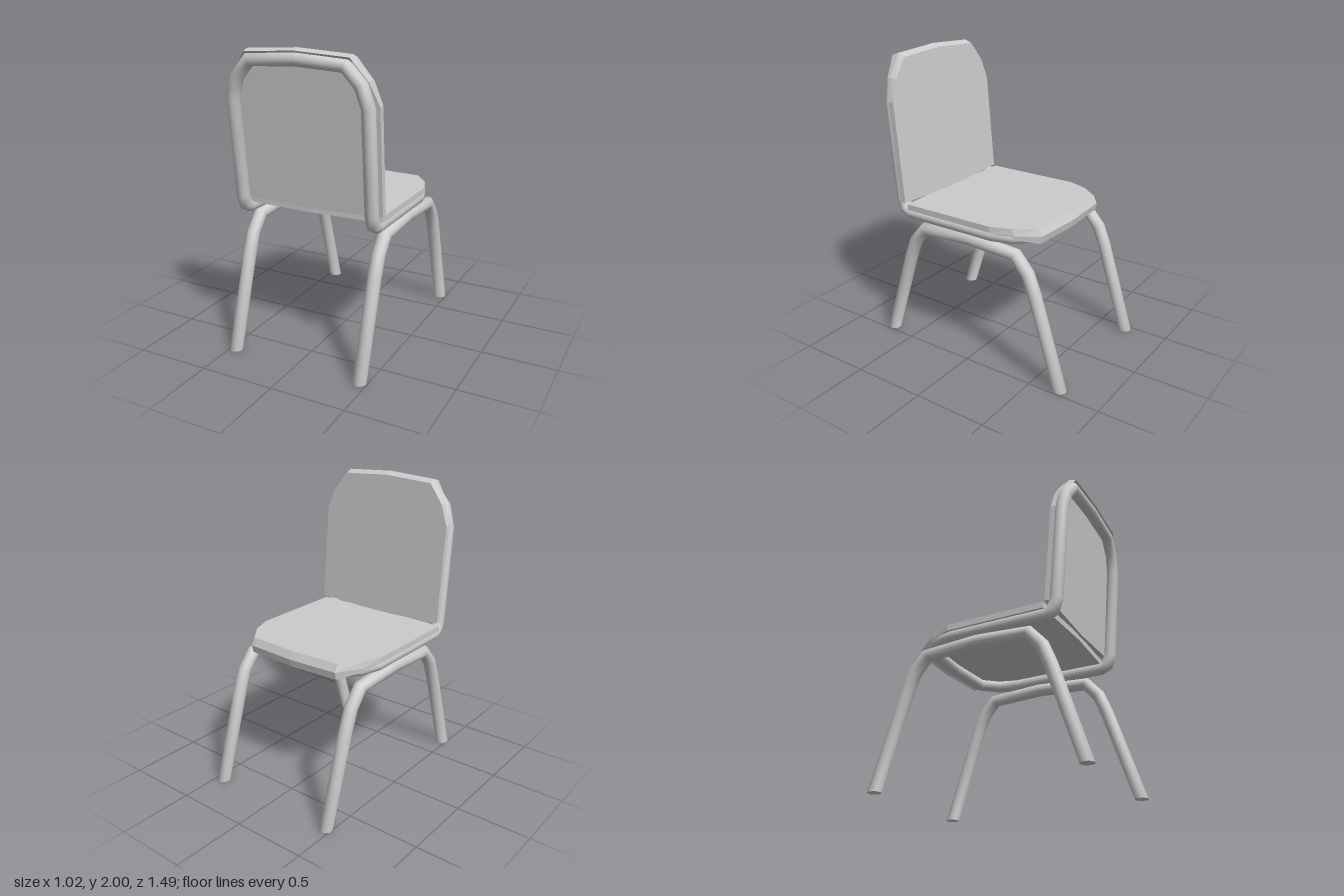
import * as THREE from 'three';

const LEAN = 0.0885; // backrest tilt
const SEAT_Y = 1.01, BACK_Y = 1.025, CREASE_Z = 0.48;
const material = new THREE.MeshStandardMaterial({ color: 0xcccccc });
const flat = new THREE.MeshStandardMaterial({ color: 0xcccccc, flatShading: true });
const mirrored = (half) => [...half, ...half.slice(0, -1).reverse().map(([x, v]) => [-x, v])];

// Polyline whose tube rings sit exactly on the corner points
class BentPath extends THREE.Curve {
  constructor(points, closed, endTangents) {
    super();
    Object.assign(this, { points, closed, endTangents, n: points.length - (closed ? 0 : 1) });
  }
  at(i) {
    const len = this.points.length;
    return this.points[this.closed ? (i + len) % len : THREE.MathUtils.clamp(i, 0, len - 1)];
  }
  getPoint(t, target = new THREE.Vector3()) {
    const i = Math.min(Math.floor(t * this.n + 1e-6), this.n - 1);
    return target.lerpVectors(this.at(i), this.at(i + 1), t * this.n - i);
  }
  getPointAt(t, target) { return this.getPoint(t, target); }
  getTangentAt(t, target = new THREE.Vector3()) {
    const i = Math.round(t * this.n);
    if (this.endTangents && (i === 0 || i === this.n)) return target.copy(this.endTangents[i ? 1 : 0]);
    const before = this.at(i).clone().sub(this.at(i - 1)).normalize();
    const after = this.at(i + 1).clone().sub(this.at(i)).normalize();
    return target.copy(before.add(after).normalize());
  }
}

function tube(name, points, radius, closed, endTangents) {
  const path = new BentPath(points, closed, endTangents);
  const mesh = new THREE.Mesh(new THREE.TubeGeometry(path, path.n, radius, 16, closed), material);
  mesh.name = name;
  return mesh;
}

// Round-cornered panel with a lip that deepens along its far edge
function panelGeometry() {
  const outline = [[0, -0.02], ...mirrored([[0.5, 0], [0.5, 0.67], [0.45, 0.82], [0.35, 0.96], [0, 0.98]])];
  // per ring: depth, extra depth at the far edge, pull-back at the far edge
  const rings = [[0, 0, 0.025], [0.04, 0.01, 0], [0.04, 0.06, 0.01], [0.04, 0, 0.05]].map(([d, extra, inset]) =>
    outline.map(([x, v]) => {
      const w = THREE.MathUtils.clamp((v - 0.67) / 0.29, 0, 1);
      return [x, v - inset * w, d + extra * w];
    }));
  const pos = [];
  const tri = (...corners) => corners.forEach((c) => pos.push(...c));
  const n = outline.length, last = rings.length - 1;
  for (let i = 0; i < n; i++) {
    const j = (i + 1) % n;
    for (let r = 0; r < last; r++) {
      tri(rings[r][i], rings[r][j], rings[r + 1][j]);
      tri(rings[r][i], rings[r + 1][j], rings[r + 1][i]);
    }
    tri([0, 0.45, 0], rings[0][j], rings[0][i]);
    tri([0, 0.45, 0.04], rings[last][i], rings[last][j]);
  }
  const geo = new THREE.BufferGeometry();
  geo.setAttribute('position', new THREE.Float32BufferAttribute(pos, 3));
  geo.computeVertexNormals();
  return geo;
}

export function createModel() {
  const chair = new THREE.Group();
  chair.name = 'chair';

  // Seat and backrest share one panel shape
  const panel = panelGeometry();
  const seat = new THREE.Mesh(panel, flat);
  seat.name = 'seat';
  seat.position.set(-0.01, SEAT_Y, CREASE_Z);
  seat.rotation.set(Math.PI / 2, 0, Math.PI);
  const backrest = new THREE.Mesh(panel, flat);
  backrest.name = 'backrest';
  backrest.position.set(0.01, BACK_Y, CREASE_Z);
  backrest.rotation.x = LEAN;
  chair.add(seat, backrest);

  // Continuous tube running under the seat and up behind the backrest
  const depth = 0.067, c = Math.cos(LEAN), s = Math.sin(LEAN);
  const arch = mirrored([[0.456, 0.66], [0.415, 0.79], [0.32, 0.895], [0, 0.915]]);
  const onSeat = ([x, v]) => new THREE.Vector3(x - 0.006, SEAT_Y - depth, CREASE_Z - v);
  const onBack = ([x, v]) =>
    new THREE.Vector3(x - 0.006, BACK_Y + v * c - depth * s, CREASE_Z + v * s + depth * c);
  const bend = (x) => [[0.943, 0.48], [0.965, 0.525], [1.03, 0.548]]
    .map(([y, z]) => new THREE.Vector3(x - 0.006, y, z));
  chair.add(tube('frame', [
    ...arch.map(onBack), ...bend(-0.456).reverse(),
    ...[...arch].reverse().map(onSeat), ...bend(0.456),
  ], 0.043, true));

  // Each side: one bent tube forming a front leg, rail and back leg
  const half = [[0.7, 0], [0.5, 0.62], [0.45, 0.745], [0.36, 0.85], [0, 0.87]];
  const down = new THREE.Vector3(0, -1, 0), up = new THREE.Vector3(0, 1, 0);
  for (const [side, x] of [['left', 0.45], ['right', -0.4625]]) {
    const legs = new THREE.Group();
    legs.name = side + 'Legs';
    const points = mirrored(half).map(([z, y]) => new THREE.Vector3(x, y, z));
    legs.add(tube(side + 'LegTube', points, 0.044, false, [up, down]));
    for (const z of [0.7, -0.7]) {
      const foot = new THREE.Mesh(new THREE.CircleGeometry(0.044, 16), material);
      foot.name = side + 'FootCap';
      foot.rotation.x = Math.PI / 2;
      foot.position.set(x, 0, z);
      legs.add(foot);
    }
    chair.add(legs);
  }
  return chair;
}
